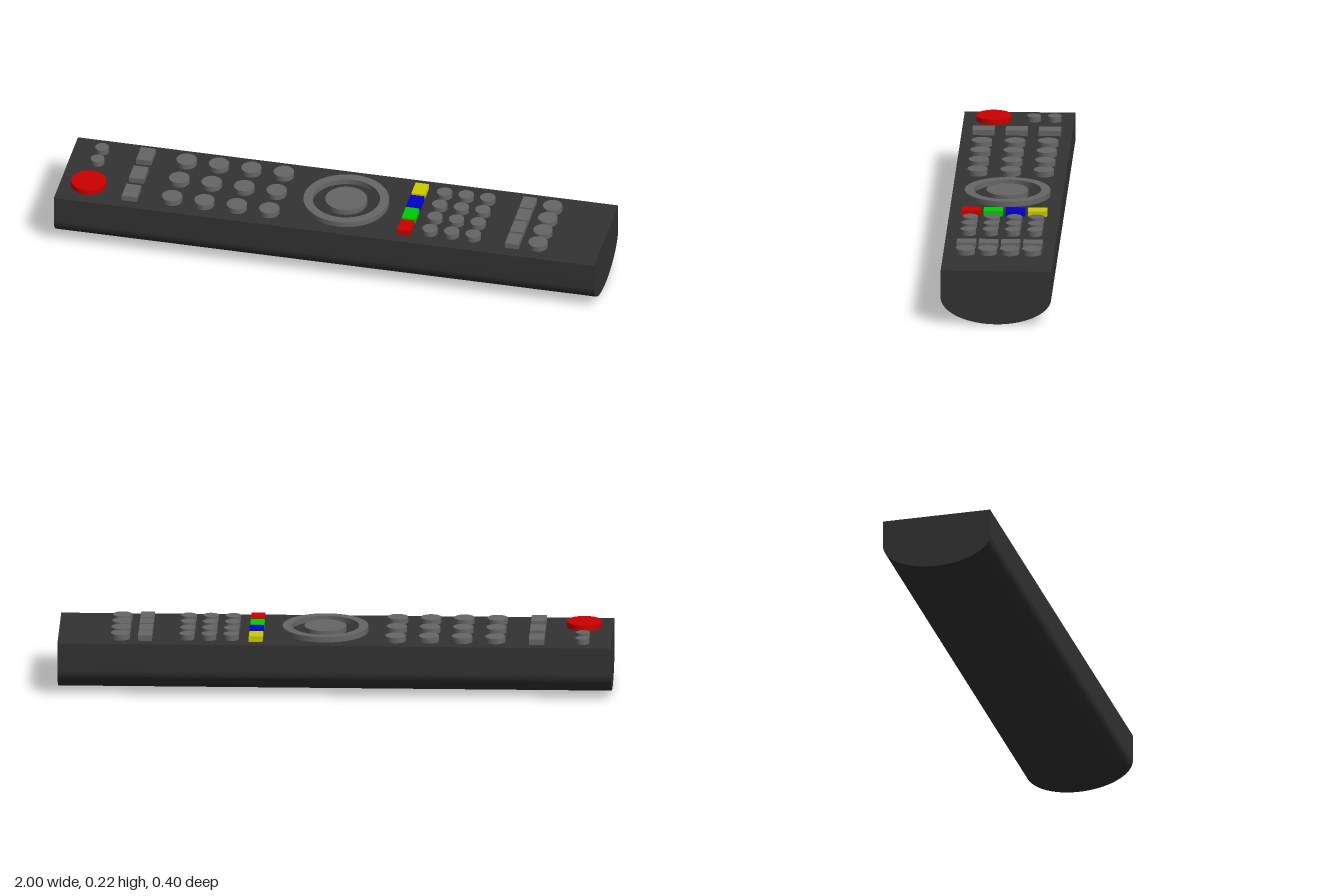
import * as THREE from 'three';
import { toCreasedNormals } from 'three/addons/utils/BufferGeometryUtils.js';

const TOP = 0.2;      // height of the keypad face
const RISE = 0.02;    // how far the buttons stand out
const ROWS3 = [-0.12, 0, 0.12];
const ROWS4 = [-0.12, -0.04, 0.04, 0.12];

const paint = (color) => new THREE.MeshStandardMaterial({ color });

export function createModel() {
  const model = new THREE.Group();
  const casing = paint(0x333333);
  const grey = paint(0x666666);
  const red = paint(0xcc0000);
  const green = paint(0x00cc00);
  const blue = paint(0x0000cc);
  const yellow = paint(0xcccc00);

  function add(name, geometry, material, x, y, z) {
    const mesh = new THREE.Mesh(geometry, material);
    mesh.name = name;
    mesh.position.set(x, y, z);
    model.add(mesh);
  }
  const roundButton = (name, x, z, r, material = grey) =>
    add(name, new THREE.CylinderGeometry(r, r, RISE, 32), material, x, TOP + RISE / 2, z);
  const barButton = (name, x, z, w, d, material = grey) =>
    add(name, new THREE.BoxGeometry(w, RISE, d), material, x, TOP + RISE / 2, z);

  // Body: flat top, straight sides, half-elliptical underside
  const section = new THREE.Shape();
  section.moveTo(0.2, TOP);
  section.lineTo(-0.2, TOP);
  section.lineTo(-0.2, 0.1);
  section.absellipse(0, 0.1, 0.2, 0.1, Math.PI, Math.PI * 2, false);
  section.closePath();
  const body = new THREE.ExtrudeGeometry(section, { depth: 2, bevelEnabled: false, curveSegments: 40 });
  body.translate(0, 0, -1).rotateY(Math.PI / 2);
  add('body', toCreasedNormals(body, 0.6), casing, 0, 0, 0);

  // Power button and the two small buttons beside it
  roundButton('powerButton', -0.895, 0.09, 0.064, red);
  for (const z of [-0.13, -0.055]) roundButton('smallButton', -0.895, z, 0.025);

  // Column of bar buttons, then the number pad
  for (const z of ROWS3) {
    barButton('modeButton', -0.73, z, 0.055, 0.08);
    for (const x of [-0.58, -0.46, -0.34, -0.22]) roundButton('numberButton', x, z, 0.037);
  }

  // Navigation ring with its centre button
  const ring = new THREE.Shape();
  ring.absarc(0, 0, 0.155, 0, Math.PI * 2, false);
  const hole = new THREE.Path();
  hole.absarc(0, 0, 0.122, 0, Math.PI * 2, true);
  ring.holes.push(hole);
  const ringGeometry = new THREE.ExtrudeGeometry(ring, { depth: RISE, bevelEnabled: false, curveSegments: 32 });
  ringGeometry.rotateX(-Math.PI / 2);
  add('navigationRing', toCreasedNormals(ringGeometry, 0.6), grey, 0.038, TOP, 0);
  roundButton('centreButton', 0.038, 0, 0.076);

  // Coloured keys, playback keys and the end columns
  const keyColours = [yellow, blue, green, red];
  ROWS4.forEach((z, i) => {
    barButton('colourKey', 0.285, z, 0.05, 0.07, keyColours[i]);
    for (const x of [0.375, 0.455, 0.535]) roundButton('playbackButton', x, z, 0.028);
    barButton('endBarButton', 0.685, z, 0.05, 0.07);
    roundButton('endRoundButton', 0.775, z, 0.035);
  });

  return model;
}
